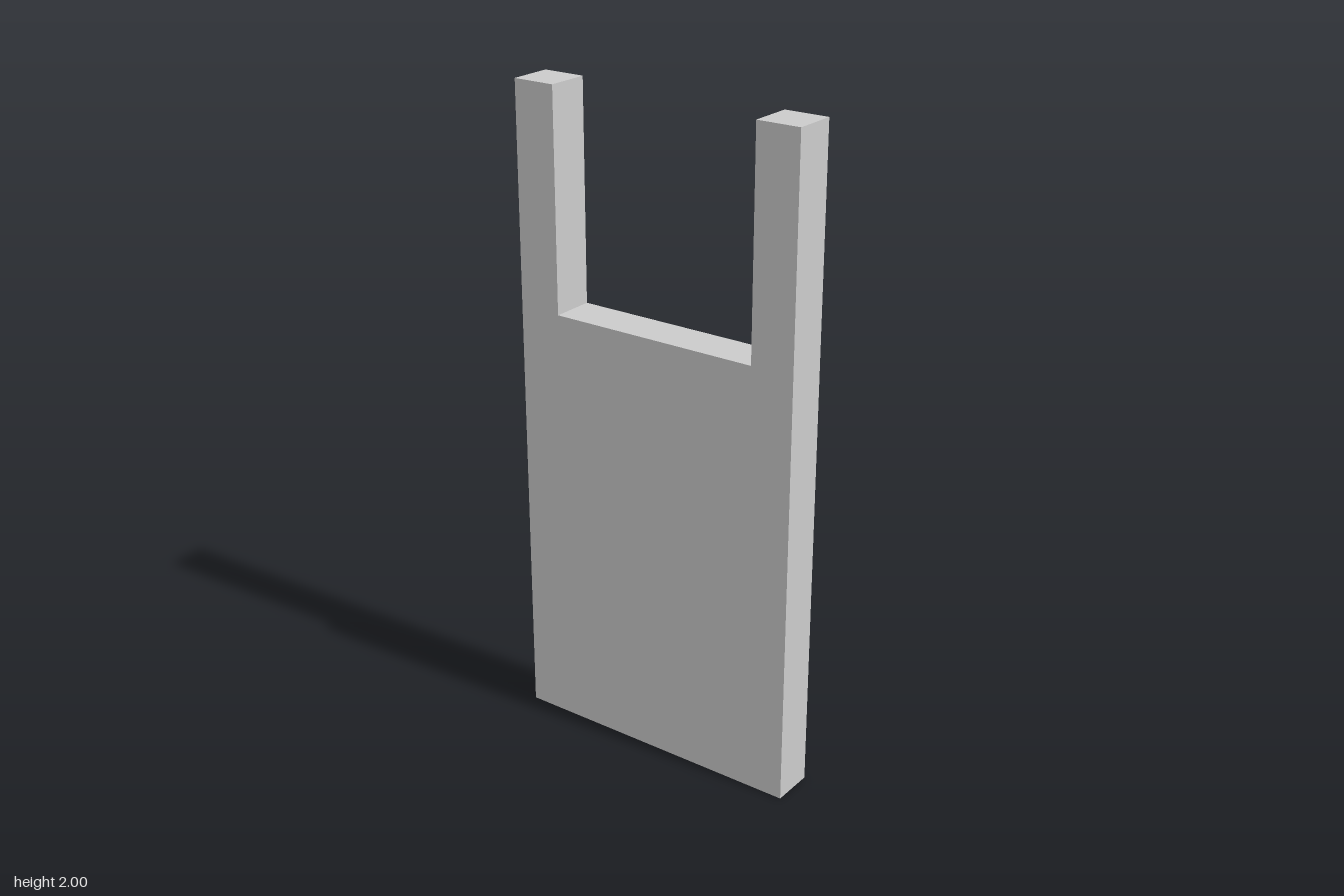
import * as THREE from 'three';

export function createModel() {
  const halfWidth = 0.467, halfNotch = 0.333, notchY = 1.333, height = 2, depth = 0.133;

  // U-shaped outline: solid panel with a prong at each upper corner
  const outline = new THREE.Shape([
    [-halfWidth, 0], [halfWidth, 0], [halfWidth, height], [halfNotch, height],
    [halfNotch, notchY], [-halfNotch, notchY], [-halfNotch, height], [-halfWidth, height],
  ].map(([x, y]) => new THREE.Vector2(x, y)));

  const geometry = new THREE.ExtrudeGeometry(outline, { depth, bevelEnabled: false });
  geometry.translate(0, 0, -depth / 2);

  const panel = new THREE.Mesh(
    geometry,
    new THREE.MeshStandardMaterial({ color: 0xcccccc, flatShading: true }),
  );
  panel.name = 'notchedPanel';

  const model = new THREE.Group();
  model.name = 'forkedPanel';
  model.add(panel);
  return model;
}
